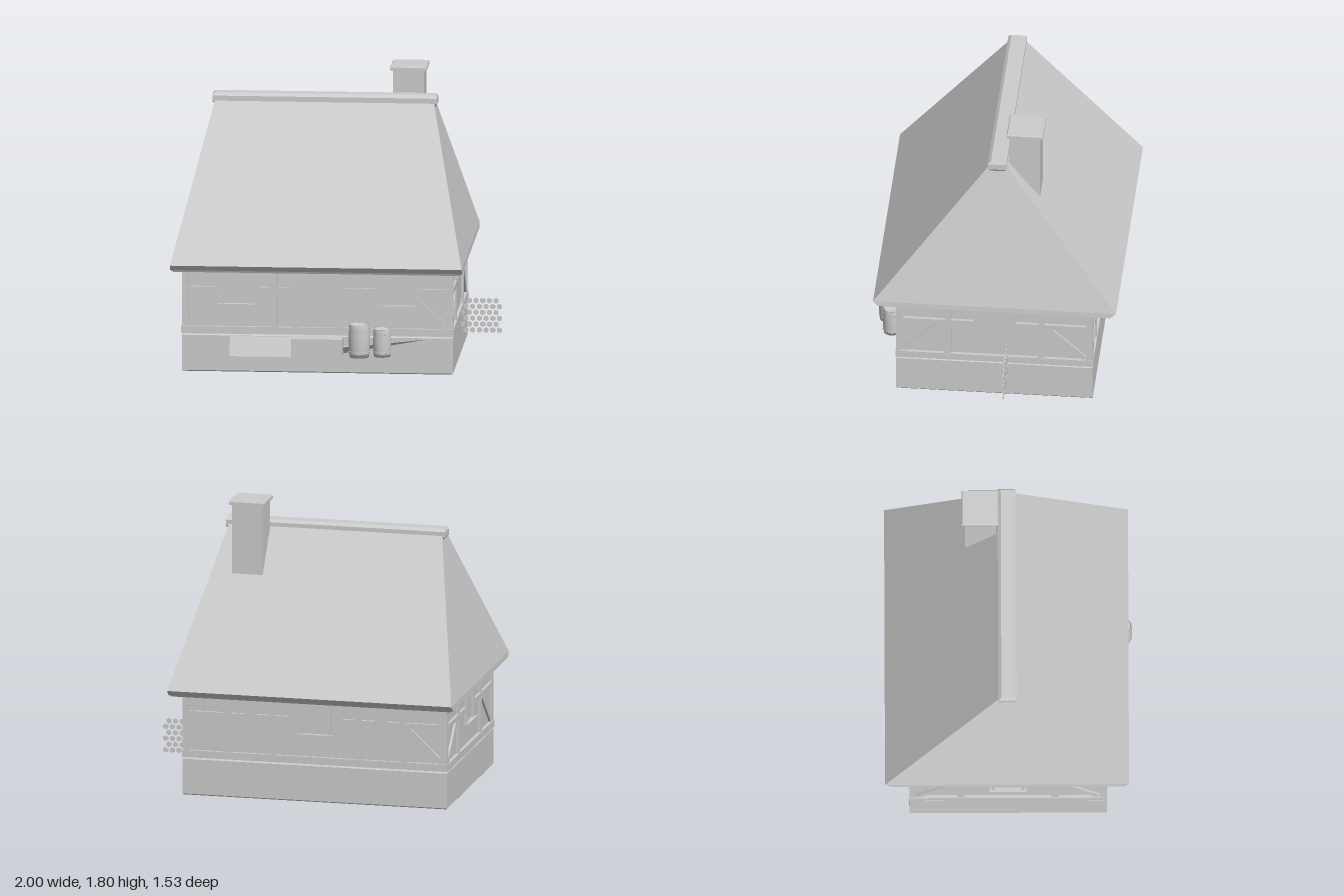
import * as THREE from 'three';

export function createModel() {
  const model = new THREE.Group();
  model.name = 'cottage';
  const plaster = new THREE.MeshStandardMaterial({ color: 0xcccccc, side: THREE.DoubleSide });
  plaster.name = 'pale grey';

  const add = (parent, name, geometry, x = 0, y = 0, z = 0) => {
    const mesh = new THREE.Mesh(geometry, plaster);
    mesh.name = name;
    mesh.position.set(x, y, z);
    parent.add(mesh);
    return mesh;
  };
  // Box given by its limits on each axis
  const box = (parent, name, x0, x1, y0, y1, z0, z1) =>
    add(parent, name, new THREE.BoxGeometry(x1 - x0, y1 - y0, z1 - z0),
      (x0 + x1) / 2, (y0 + y1) / 2, (z0 + z1) / 2);
  // Flat-faced solid from stacked rectangles [y, x0, x1, z0, z1]
  const stack = (levels) => {
    const pos = [];
    const rings = levels.map(([y, x0, x1, z0, z1]) =>
      [[x0, y, z1], [x1, y, z1], [x1, y, z0], [x0, y, z0]]);
    const quad = (a, b, c, d) => pos.push(...a, ...b, ...c, ...a, ...c, ...d);
    for (let i = 0; i < rings.length - 1; i++) {
      for (let k = 0; k < 4; k++) {
        const n = (k + 1) % 4;
        quad(rings[i][k], rings[i][n], rings[i + 1][n], rings[i + 1][k]);
      }
    }
    quad(...rings[rings.length - 1]);
    quad(...[...rings[0]].reverse());
    const g = new THREE.BufferGeometry();
    g.setAttribute('position', new THREE.Float32BufferAttribute(pos, 3));
    g.computeVertexNormals();
    return g;
  };

  const CX = -0.095, CZ = -0.01, HX = 0.84, HZ = 0.61;

  // Stone base with slightly eased top and bottom edges, and the plaster walls
  const rect = (y, inset) => [y, CX - HX + inset, CX + HX - inset, CZ - HZ + inset, CZ + HZ - inset];
  add(model, 'base', stack([rect(0, 0.006), rect(0.007, 0), rect(0.228, 0), rect(0.235, 0.006)]));
  add(model, 'walls', stack([rect(0.23, 0.016), rect(0.68, 0.016)]));

  // Hipped roof with cut-back eaves
  add(model, 'roof', stack([
    [0.645, -0.98, 0.79, -0.722, 0.702],
    [0.657, -1, 0.81, -0.732, 0.708],
    [0.69, -0.998, 0.808, -0.77, 0.737],
    [1.6, -0.77, 0.585, -0.07, 0.04],
  ]));
  add(model, 'ridgeCap', stack([
    [1.572, -0.775, 0.595, -0.05, 0.025],
    [1.588, -0.787, 0.605, -0.07, 0.045],
    [1.625, -0.787, 0.605, -0.07, 0.045],
    [1.642, -0.775, 0.595, -0.05, 0.025],
  ]));

  // Chimney
  box(model, 'chimney', 0.322, 0.516, 1.0, 1.776, -0.272, -0.08);
  add(model, 'chimneyCap', stack([
    [1.776, 0.307, 0.532, -0.292, -0.066],
    [1.795, 0.307, 0.532, -0.292, -0.066],
    [1.802, 0.312, 0.527, -0.287, -0.071],
  ]));

  // Timber frame: each side is drawn with u across, y up, and z outwards
  const makeSide = (name, half, depth, angle) => {
    const side = new THREE.Group();
    side.name = name;
    side.rotation.y = angle;
    side.position.set(CX + Math.sin(angle) * depth, 0, CZ + Math.cos(angle) * depth);
    model.add(side);
    box(side, 'sill', -half - 0.004, half + 0.004, 0.24, 0.285, -0.03, 0.004);
    for (const s of [-1, 1]) post(side, s * (half - 0.021), 0.042);
    return side;
  };
  const post = (side, u, w = 0.042) => box(side, 'post', u - w / 2, u + w / 2, 0.28, 0.67, -0.03, 0);
  const rail = (side, u0, u1) =>
    box(side, 'rail', Math.min(u0, u1), Math.max(u0, u1), 0.503, 0.535, -0.03, 0.002);
  const brace = (side, u0, y0, u1, y1) => {
    const b = add(side, 'brace',
      new THREE.BoxGeometry(Math.hypot(u1 - u0, y1 - y0), 0.032, 0.024),
      (u0 + u1) / 2, (y0 + y1) / 2, -0.014);
    b.rotation.z = Math.atan2(y1 - y0, u1 - u0);
  };
  const windowFrame = (side, u) => {
    const w = new THREE.Group();
    w.name = 'window';
    w.position.x = u;
    side.add(w);
    for (const s of [-1, 1]) box(w, 'windowJamb', s * 0.09 - 0.011, s * 0.09 + 0.011, 0.43, 0.63, -0.03, 0.004);
    box(w, 'windowLintel', -0.107, 0.107, 0.622, 0.642, -0.03, 0.008);
    box(w, 'windowSill', -0.113, 0.113, 0.415, 0.43, -0.03, 0.018);
    box(w, 'windowPane', -0.08, 0.08, 0.43, 0.625, -0.03, -0.012);
  };

  const front = makeSide('frontTimbers', HX, HZ, 0);
  const back = makeSide('backTimbers', HX, HZ, Math.PI);
  const left = makeSide('leftTimbers', HZ, HX, Math.PI / 2);
  const right = makeSide('rightTimbers', HZ, HX, -Math.PI / 2);
  for (const s of [-1, 1]) {
    post(front, s * 0.27);
    post(front, s * 0.133, 0.036);
    rail(front, s * 0.165, s * 0.37);
    rail(front, s * 0.635, s * 0.8);
    brace(front, s * 0.8, 0.295, s * 0.605, 0.47);
    windowFrame(front, s * 0.5);

    post(back, s * 0.275);
    post(back, s * 0.56);
    rail(back, s * 0.17, s * 0.38);
    rail(back, s * 0.45, s * 0.8);
    brace(back, s * 0.8, 0.295, s * 0.585, 0.5);

    for (const side of [left, right]) {
      post(side, s * 0.29);
      rail(side, s * 0.13, s * 0.57);
      brace(side, s * 0.56, 0.295, s * 0.335, 0.5);
    }
  }
  windowFrame(back, 0);
  windowFrame(right, 0);
  box(front, 'door', -0.115, 0.115, 0.285, 0.67, -0.03, -0.012);

  // Honeycomb lattice standing out from the left wall
  const lattice = new THREE.Group();
  lattice.name = 'lattice';
  model.add(lattice);
  const cell = new THREE.CylinderGeometry(0.018, 0.018, 0.007, 6).toNonIndexed();
  cell.rotateX(Math.PI / 2);
  cell.computeVertexNormals();
  for (let row = 0; row < 6; row++) {
    for (let col = 0; col < 6; col++) {
      const x = 0.982 - col * 0.0415 - (row % 2) * 0.0208;
      if (x > 0.75) add(lattice, 'latticeCell', cell, x, 0.145 + row * 0.037, -0.087);
    }
  }

  // Long chest with a sloping front, and a square chest beside it
  const chest = new THREE.Shape([[0.58, 0.125], [0.735, 0.125], [0.69, 0.225], [0.58, 0.225]]
    .map(([z, y]) => new THREE.Vector2(z, y)));
  const chestGeo = new THREE.ExtrudeGeometry(chest, { depth: 0.38, bevelEnabled: false });
  chestGeo.rotateY(-Math.PI / 2);
  add(model, 'longChest', chestGeo, -0.25);
  box(model, 'squareChest', -0.25, 0.067, 0.125, 0.238, 0.58, 0.735);

  // Tapering prop against the base
  const prop = new THREE.BufferGeometry();
  const A = [0.067, 0.172, 0.645], B = [0.067, 0.125, 0.598], C = [0.067, 0.172, 0.598], T = [0.58, 0.22, 0.602];
  prop.setAttribute('position', new THREE.Float32BufferAttribute(
    [...A, ...B, ...T, ...A, ...T, ...C, ...A, ...C, ...B], 3));
  prop.computeVertexNormals();
  add(model, 'taperedProp', prop);

  // Barrels with hoops and studs
  const barrel = (x, z, r, h) => {
    const b = new THREE.Group();
    b.name = 'barrel';
    b.position.set(x, 0.125, z);
    model.add(b);
    const profile = [[0, 0], [0.92, 0], [0.98, 0.25], [1, 0.5], [0.98, 0.75], [0.92, 1], [0.85, 1], [0.85, 0.96], [0, 0.96]];
    add(b, 'barrelBody', new THREE.LatheGeometry(
      profile.map(([pr, py]) => new THREE.Vector2(pr * r, py * h)), 20));
    for (const t of [0.17, 0.83]) {
      add(b, 'barrelHoop', new THREE.CylinderGeometry(r, r, 0.02, 20, 1, true), 0, t * h, 0);
      for (let i = 0; i < 8; i++) {
        const a = (i + 0.5) * Math.PI / 4;
        add(b, 'barrelStud', new THREE.SphereGeometry(0.005, 6, 4), Math.sin(a) * r, t * h, Math.cos(a) * r);
      }
    }
  };
  barrel(0.171, 0.693, 0.066, 0.205);
  barrel(0.311, 0.665, 0.056, 0.173);

  return model;
}
